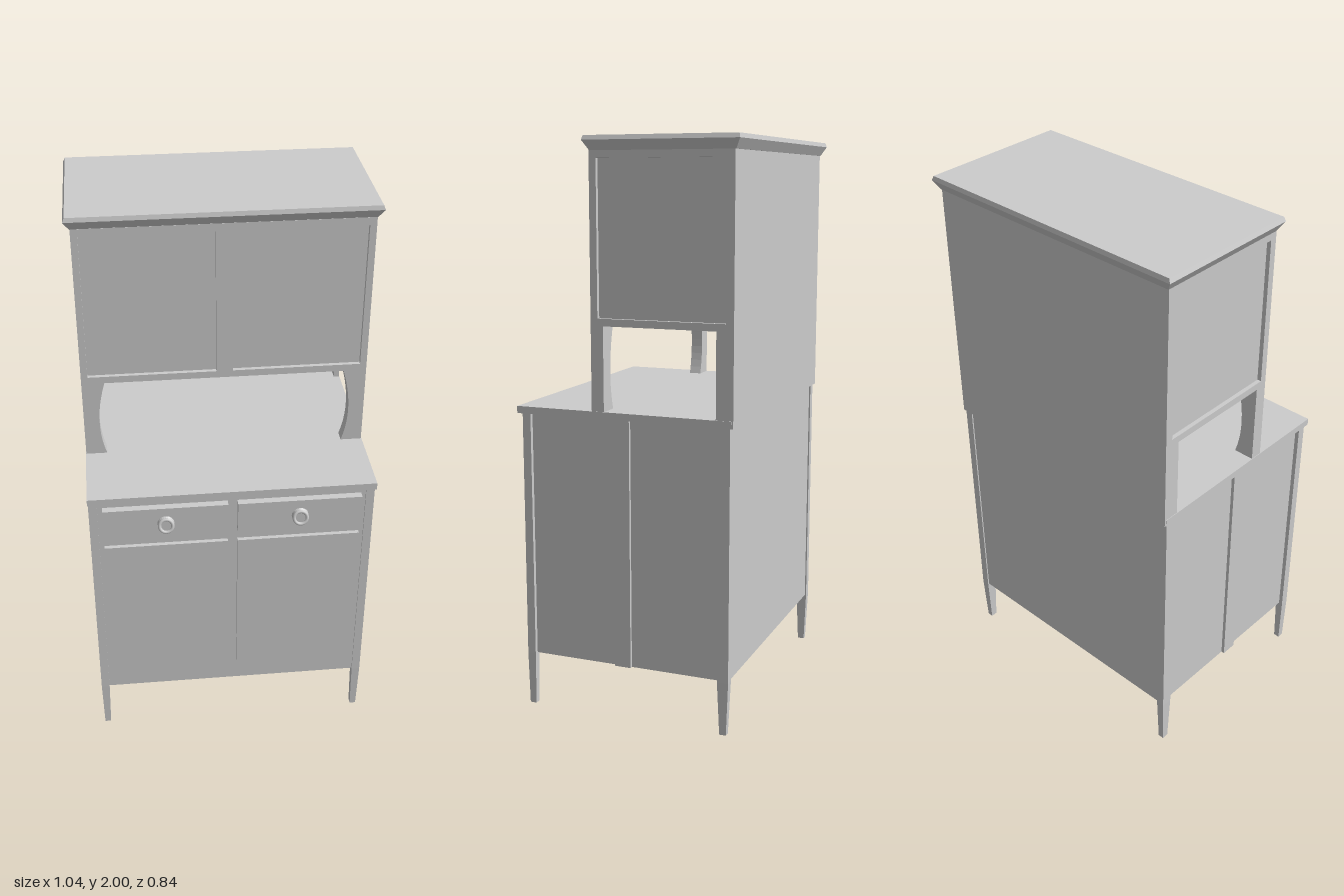
import * as THREE from 'three';

const material = new THREE.MeshStandardMaterial({ color: 0xcccccc, flatShading: true });
const smooth = new THREE.MeshStandardMaterial({ color: 0xcccccc });

export function createModel() {
  const model = new THREE.Group();

  const add = (name, geometry, mat = material) => {
    const mesh = new THREE.Mesh(geometry, mat);
    mesh.name = name;
    model.add(mesh);
    return mesh;
  };

  // Box given by its limits on each axis
  const box = (name, x0, x1, y0, y1, z0, z1) => {
    const mesh = add(name, new THREE.BoxGeometry(x1 - x0, y1 - y0, z1 - z0));
    mesh.position.set((x0 + x1) / 2, (y0 + y1) / 2, (z0 + z1) / 2);
    return mesh;
  };

  // Box whose bottom face is scaled to a different size
  const taperedBox = (name, w, d, bottomW, bottomD, y0, y1, x, z) => {
    const geometry = new THREE.BoxGeometry(w, y1 - y0, d);
    const p = geometry.attributes.position;
    for (let i = 0; i < p.count; i++) {
      if (p.getY(i) < 0) {
        p.setX(i, p.getX(i) * bottomW / w);
        p.setZ(i, p.getZ(i) * bottomD / d);
      }
    }
    geometry.computeVertexNormals();
    const mesh = add(name, geometry);
    mesh.position.set(x, (y0 + y1) / 2, z);
    return mesh;
  };

  const rectangle = (x0, x1, y0, y1, Type = THREE.Shape) => new Type([
    [x0, y0], [x1, y0], [x1, y1], [x0, y1],
  ].map(([x, y]) => new THREE.Vector2(x, y)));

  // Flat frame with rectangular openings
  const frame = (name, outer, openings, depth) => {
    const shape = rectangle(...outer);
    openings.forEach((o) => shape.holes.push(rectangle(...o, THREE.Path)));
    return add(name, new THREE.ExtrudeGeometry(shape, { depth, bevelEnabled: false }));
  };

  // Lower cabinet
  box('lowerBody', -0.485, 0.485, 0.19, 1.065, -0.385, 0.365);
  box('countertop', -0.502, 0.502, 1.065, 1.09, -0.395, 0.39);

  for (const s of [-1, 1]) {
    // Corner posts running down into tapered feet
    for (const [z, d] of [[0.355, 0.03], [-0.37, 0.04]]) {
      box('cornerPost', s * 0.485 - 0.015, s * 0.485 + 0.015, 0.19, 1.065, z - d / 2, z + d / 2);
      taperedBox('foot', 0.03, d, 0.022, 0.024, 0, 0.19, s * 0.485, z);
    }
    box('sideStile', s * 0.49 - 0.007, s * 0.49 + 0.007, 0.19, 1.065, -0.03, 0.03);

    // Doors and drawers
    const x = s * 0.235;
    box('lowerDoor', x - 0.218, x + 0.218, 0.285, 0.87, 0.36, 0.38);
    box('drawer', x - 0.218, x + 0.218, 0.915, 1.037, 0.36, 0.391);

    // Round backplate with a tilted ring pull
    const plate = add('pullPlate', new THREE.CylinderGeometry(0.026, 0.03, 0.008, 24));
    plate.rotation.x = Math.PI / 2;
    plate.position.set(x, 0.975, 0.394);
    const ring = add('ringPull', new THREE.TorusGeometry(0.023, 0.006, 10, 28), smooth);
    ring.rotation.x = -0.3;
    ring.position.set(x, 0.975, 0.408);
  }

  // Upper cabinet: core with recessed panels framed on front and sides
  box('upperBody', -0.485, 0.485, 1.38, 1.955, -0.398, 0.09);
  frame('upperFrontFrame', [-0.5, 0.5, 1.38, 1.955],
    [[-0.477, -0.03, 1.405, 1.928], [0.027, 0.477, 1.405, 1.928]], 0.015).position.z = 0.09;
  for (const s of [-1, 1]) {
    const side = frame('upperSideFrame', [-0.4, 0.09, 1.38, 1.955],
      [[-0.372, 0.08, 1.405, 1.928]], 0.015);
    side.rotation.y = -Math.PI / 2;
    side.position.x = s > 0 ? 0.5 : -0.485;

    // Curved front support between counter and upper cabinet
    const support = new THREE.Shape();
    support.moveTo(s * 0.5, 1.09);
    support.lineTo(s * 0.425, 1.09);
    support.quadraticCurveTo(s * 0.468, 1.22, s * 0.42, 1.38);
    support.lineTo(s * 0.5, 1.38);
    support.closePath();
    add('curvedSupport', new THREE.ExtrudeGeometry(support,
      { depth: 0.045, bevelEnabled: false, curveSegments: 10 })).position.z = 0.06;

    box('rearSupport', s * 0.49 - 0.01, s * 0.49 + 0.01, 1.065, 1.38, -0.4, -0.34);
  }
  box('backPanel', -0.5, 0.5, 1.065, 1.955, -0.4, -0.385);

  // Crown moulding
  taperedBox('crownCove', 1.042, 0.543, 1.0, 0.505, 1.952, 1.985, 0, -0.15);
  taperedBox('crownTop', 1.03, 0.535, 1.042, 0.543, 1.985, 2, 0, -0.15);

  return model;
}
